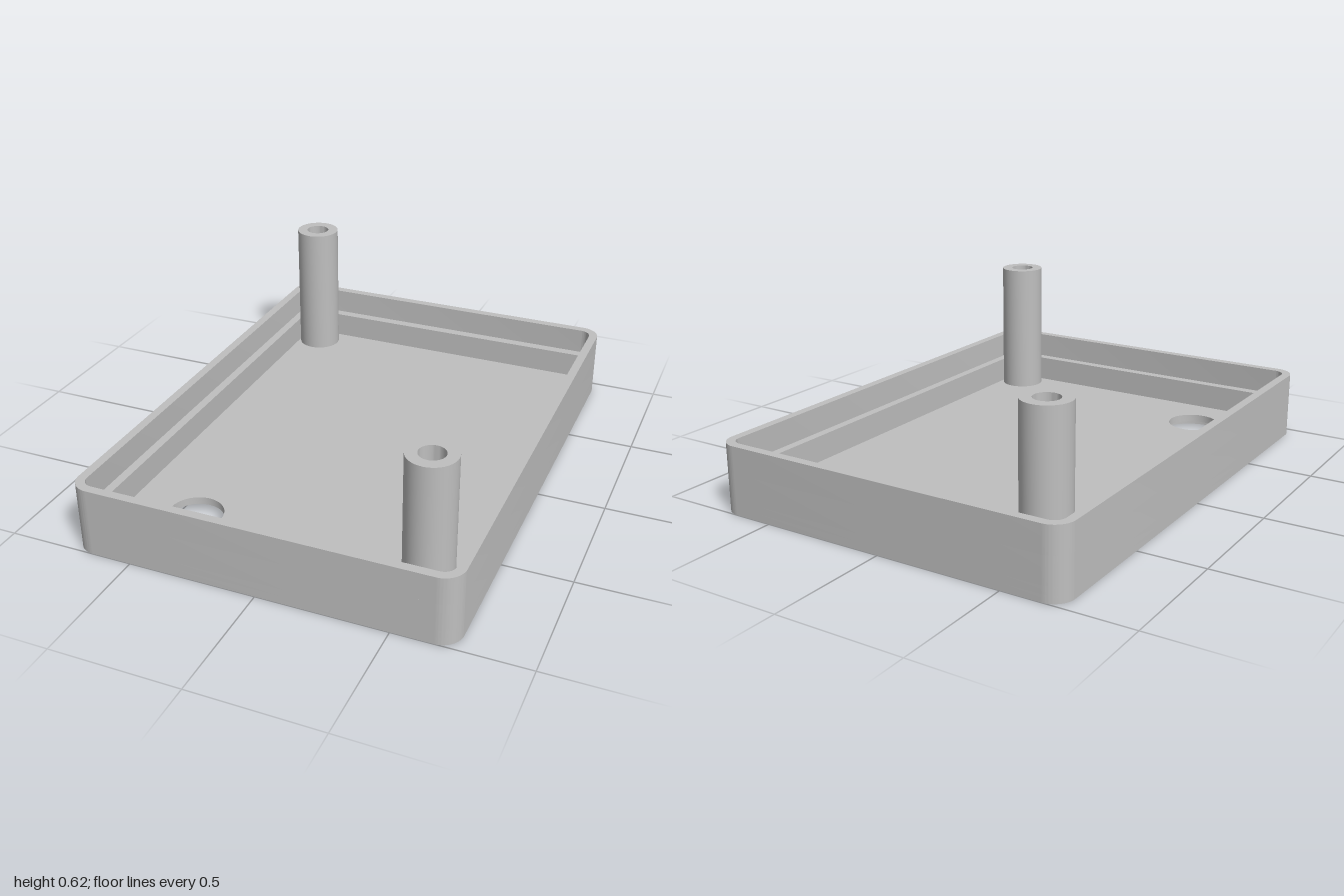
import * as THREE from 'three';
import { toCreasedNormals } from 'three/addons/utils/BufferGeometryUtils.js';

const FLOOR = 0.06, LEDGE = 0.165, RIM = 0.27, POST_TOP = 0.62;
const CREASE = Math.PI / 6;

// Rectangle outline of half sizes w and h, with corner radius r (0 = sharp)
function outline(w, h, r, Type = THREE.Shape) {
  const s = new Type();
  if (r === 0) {
    s.moveTo(-w, -h).lineTo(w, -h).lineTo(w, h).lineTo(-w, h).lineTo(-w, -h);
    return s;
  }
  [[1, -1], [1, 1], [-1, 1], [-1, -1]].forEach(([sx, sy], i) => {
    const a = (i - 1) * Math.PI / 2;
    s.absarc(sx * (w - r), sy * (h - r), r, a, a + Math.PI / 2, false);
  });
  s.closePath();
  return s;
}

function circle(x, z, r) {
  return new THREE.Path().absarc(x, -z, r, 0, Math.PI * 2, false);
}

export function createModel() {
  const group = new THREE.Group();
  const grey = new THREE.MeshStandardMaterial({ color: 0xbfbfbf });
  grey.name = 'grey plastic';

  const add = (name, geometry) => {
    const mesh = new THREE.Mesh(toCreasedNormals(geometry, CREASE), grey);
    mesh.name = name;
    group.add(mesh);
    return mesh;
  };

  // Horizontal slice of the tray between two heights, with one opening
  const layer = (name, y0, y1, opening) => {
    const shape = outline(0.735, 1, 0.08);
    shape.holes.push(opening);
    const geometry = new THREE.ExtrudeGeometry(shape, { depth: y1 - y0, bevelEnabled: false, curveSegments: 16 });
    geometry.rotateX(-Math.PI / 2).translate(0, y0, 0);
    add(name, geometry);
  };

  // Floor with a round opening, wider underneath
  layer('floorRecess', 0, 0.03, circle(-0.393, 0.7, 0.16));
  layer('floor', 0.03, FLOOR, circle(-0.393, 0.7, 0.105));

  // Thick lower wall with a ledge, thin rim above it
  layer('lowerWall', FLOOR, LEDGE, outline(0.665, 0.925, 0, THREE.Path));
  layer('rim', LEDGE, RIM, outline(0.7, 0.965, 0.045, THREE.Path));

  // Hollow screw posts in two opposite corners
  const profile = [[0.091, FLOOR], [0.091, POST_TOP], [0.048, POST_TOP], [0.048, FLOOR]]
    .map(([r, y]) => new THREE.Vector2(r, y));
  for (const [name, side] of [['frontPost', 1], ['backPost', -1]]) {
    const post = add(name, new THREE.LatheGeometry(profile, 40));
    post.position.set(side * 0.575, 0, side * 0.835);
  }

  return group;
}
